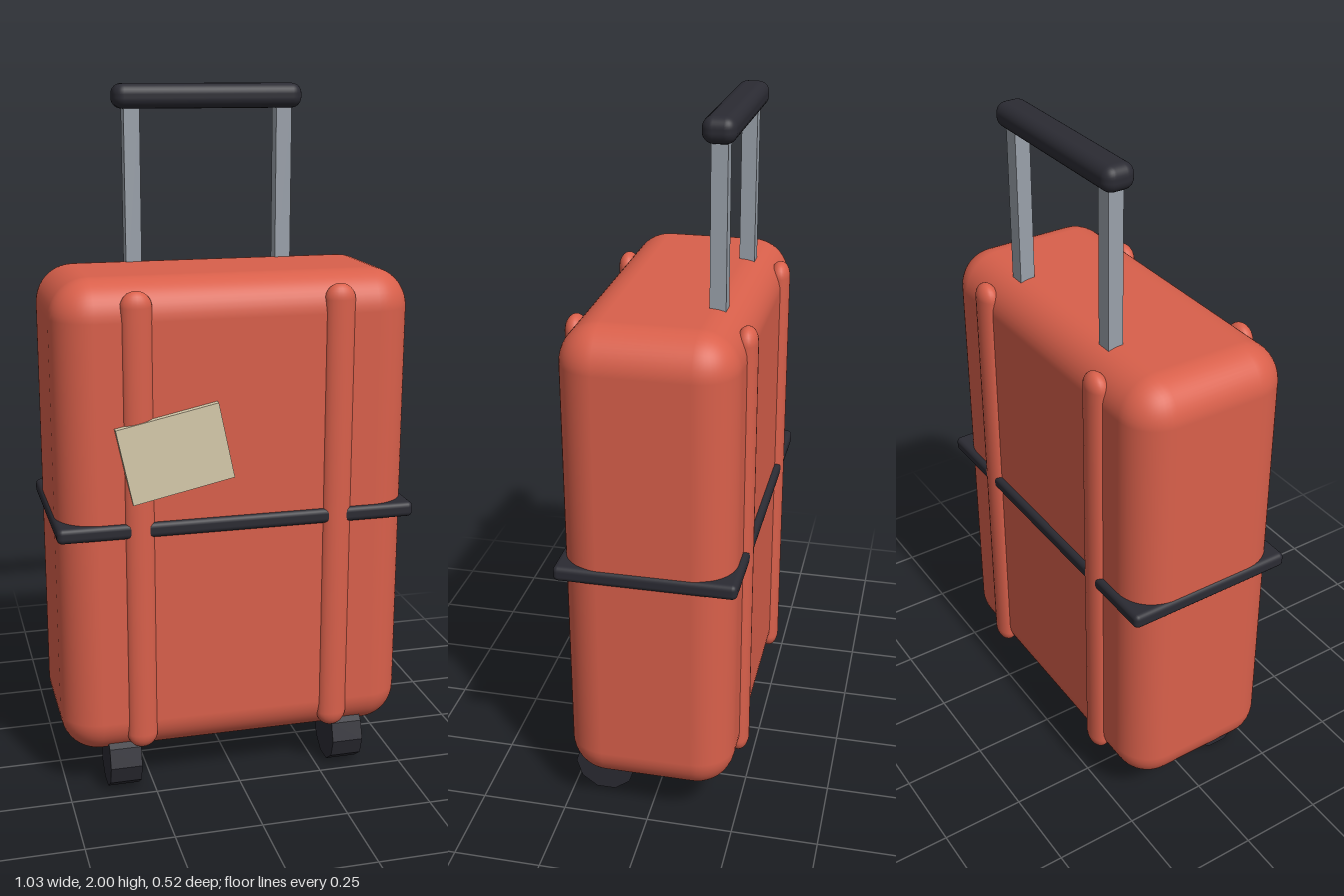
import * as THREE from 'three';
import { RoundedBoxGeometry } from 'three/addons/geometries/RoundedBoxGeometry.js';

const material = (name, color, extra = {}) => {
  const m = new THREE.MeshStandardMaterial({ color, ...extra });
  m.name = name;
  return m;
};

export function createModel() {
  const coral = material('coral shell', 0xd9604b);
  const dark = material('dark rubber', 0x2b2b33);
  const tyre = dark;
  const metal = material('brushed metal', 0x9aa1aa);
  const paper = material('paper label', 0xd6caab);

  const model = new THREE.Group();
  model.name = 'suitcase';
  const add = (name, geometry, mat, x, y, z) => {
    const mesh = new THREE.Mesh(geometry, mat);
    mesh.name = name;
    mesh.position.set(x, y, z);
    model.add(mesh);
    return mesh;
  };

  // Shell with soft corners
  add('shell', new RoundedBoxGeometry(1.02, 1.385, 0.48, 6, 0.11), coral, 0, 0.807, 0);

  // Raised vertical ribs on the front and back
  const rib = new THREE.CapsuleGeometry(0.044, 1.242, 8, 20);
  rib.scale(1, 1, 0.66);
  // Strap around the middle
  add('strap', new RoundedBoxGeometry(1.035, 0.044, 0.508, 3, 0.015), dark, 0, 0.806, -0.002);

  // Two wheels under the front edge
  const wheel = new THREE.CylinderGeometry(0.09, 0.09, 0.092, 10).toNonIndexed();
  wheel.rotateZ(Math.PI / 2);
  wheel.computeVertexNormals();

  for (const side of [-1, 1]) {
    add('frontRib', rib, coral, side * 0.286, 0.807, 0.229);
    add('backRib', rib, coral, side * 0.286, 0.807, -0.233);
    add('wheel', wheel, tyre, side * 0.337, 0.086, 0.155);
    add('handlePost', new THREE.BoxGeometry(0.046, 0.56, 0.044), metal, side * 0.224, 1.68, -0.146);
  }

  // Handle grip
  add('handleGrip', new RoundedBoxGeometry(0.553, 0.07, 0.09, 4, 0.03), dark, 0, 1.965, -0.146);

  // Tilted paper label across the left-hand rib
  const label = add('label', new THREE.BoxGeometry(0.293, 0.22, 0.02), paper, -0.187, 1.024, 0.252);
  label.rotation.z = 0.21;

  return model;
}
